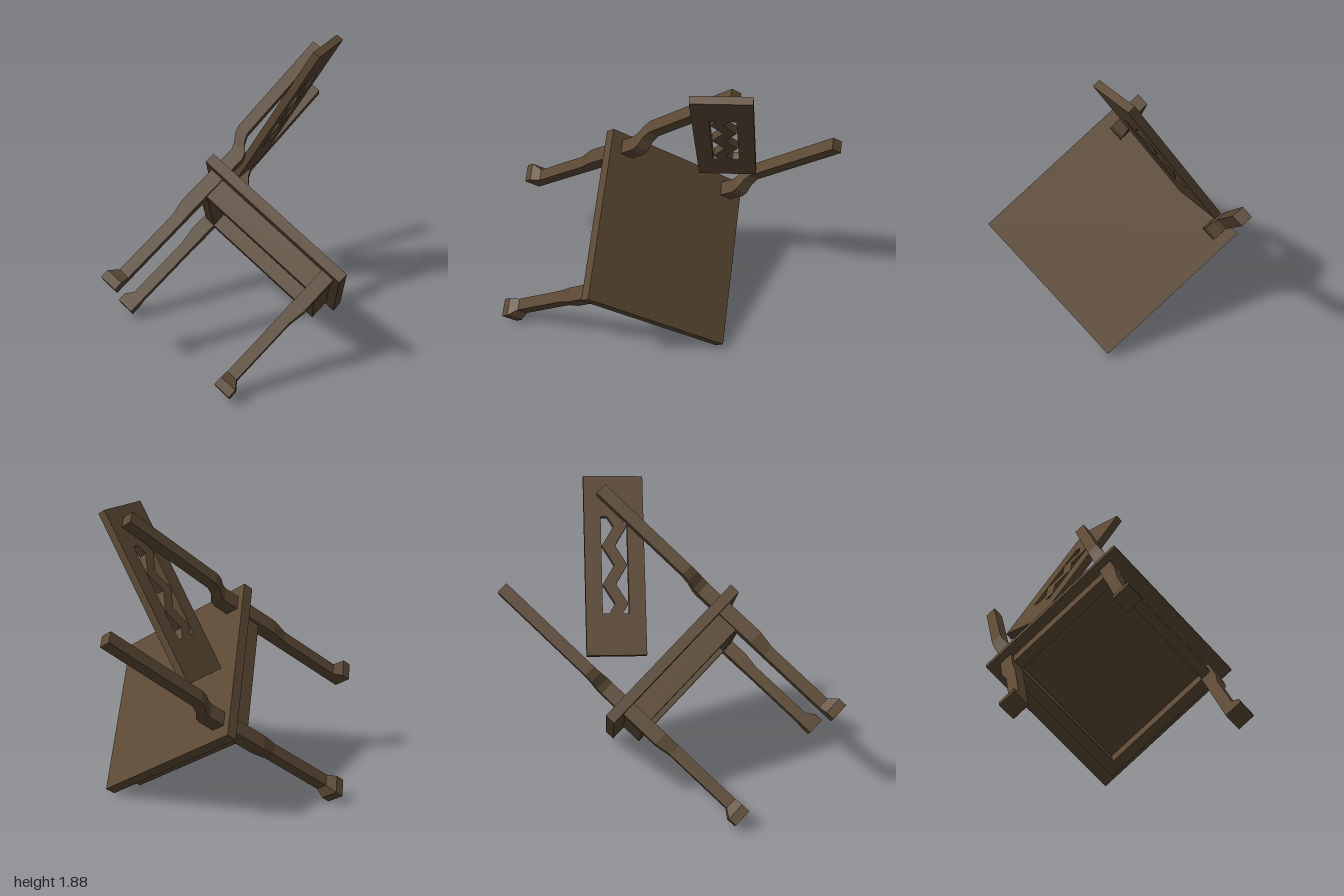
import * as THREE from 'three';

const wood = new THREE.MeshStandardMaterial({ color: 0x5b4834 });
wood.name = 'darkWood';

function add(parent, name, geometry) {
  const mesh = new THREE.Mesh(geometry, wood);
  mesh.name = name;
  parent.add(mesh);
  return mesh;
}

// Square bar through sections [y, centreX, centreZ, halfSide], listed bottom to top
function bar(sections) {
  const pos = [], idx = [];
  for (const [y, x, z, h] of sections) {
    pos.push(x - h, y, z + h, x + h, y, z + h, x + h, y, z - h, x - h, y, z - h);
  }
  for (let i = 0; i < sections.length - 1; i++) {
    for (let k = 0; k < 4; k++) {
      const a = i * 4 + k, b = i * 4 + (k + 1) % 4;
      idx.push(a, b, b + 4, a, b + 4, a + 4);
    }
  }
  const t = (sections.length - 1) * 4;
  idx.push(0, 2, 1, 0, 3, 2, t, t + 1, t + 2, t, t + 2, t + 3);
  const g = new THREE.BufferGeometry();
  g.setAttribute('position', new THREE.Float32BufferAttribute(pos, 3));
  g.setIndex(idx);
  const flat = g.toNonIndexed();
  flat.computeVertexNormals();
  return flat;
}

function box(parent, name, w, h, d, x, y, z) {
  add(parent, name, new THREE.BoxGeometry(w, h, d)).position.set(x, y, z);
}

// Leg whose inner corner stays straight while the outer sides step in and flare to a foot
function leg(sx, sz) {
  const profile = [[-1.01, 0.058], [-0.952, 0.058], [-0.9, 0.0375], [-0.44, 0.0375], [-0.33, 0.046], [-0.05, 0.046]];
  return bar(profile.map(([y, h]) => [y, sx * (0.377 + h), sz * (0.414 + h), h]));
}

// Back post: square block, backward S-bend, then a slight lean
function post(sx) {
  return bar([
    [-0.01, sx * 0.423, -0.46, 0.046],
    [0.11, sx * 0.423, -0.46, 0.046],
    [0.15, sx * 0.423, -0.475, 0.046],
    [0.2, sx * 0.425, -0.52, 0.04],
    [0.25, sx * 0.425, -0.542, 0.0375],
    [0.972, sx * 0.425, -0.574, 0.0375],
  ]);
}

// Board with a window crossed by a zigzag bar
function backBoard() {
  const group = new THREE.Group();
  group.name = 'backBoard';
  const T = 0.05, W = 0.182, H = 0.556, w = 0.08, h = 0.3;
  const poly = (pts) => pts.map(([x, y]) => new THREE.Vector2(x, y));
  const shape = new THREE.Shape(poly([[-W, -H], [W, -H], [W, H], [-W, H]]));
  shape.holes.push(new THREE.Path(poly([[-w, -h], [-w, h], [w, h], [w, -h]])));
  const opts = { depth: T, bevelEnabled: false };
  add(group, 'boardFrame', new THREE.ExtrudeGeometry(shape, opts)).position.z = -T;

  const line = [[0, 0.3], [-0.036, 0.24], [0.036, 0.12], [-0.036, 0], [0.036, -0.12], [-0.036, -0.24], [0, -0.3]];
  const left = line.map(([x, y]) => [x - 0.04, y]);
  const right = line.map(([x, y]) => [x + 0.04, y]).reverse();
  add(group, 'zigzagBar', new THREE.ExtrudeGeometry(new THREE.Shape(poly([...left, ...right])), opts)).position.z = -T;
  return group;
}

export function createModel() {
  const model = new THREE.Group();
  model.name = 'brokenChair';

  // The chair is built upright with the seat top at y = 0, then tipped over
  const chair = new THREE.Group();
  chair.name = 'tippedChair';
  model.add(chair);

  box(chair, 'seat', 1.1, 0.068, 1.1, 0, -0.034, 0);

  // Thick apron under the seat, with a recessed panel inside it
  for (const s of [-1, 1]) {
    box(chair, s > 0 ? 'frontApron' : 'backApron', 0.9, 0.15, 0.07, 0, -0.135, s * 0.45);
    box(chair, 'sideApron', 0.07, 0.15, 0.83, s * 0.415, -0.135, 0);
  }
  box(chair, 'underPanel', 0.76, 0.05, 0.83, 0, -0.085, 0);

  // Three legs; the front one on the +x side is missing
  for (const [sx, sz] of [[-1, -1], [1, -1], [-1, 1]]) {
    add(chair, sz > 0 ? 'frontLeg' : 'backLeg', leg(sx, sz));
  }

  for (const s of [-1, 1]) add(chair, 'backPost', post(s));

  // Loose board hanging askew between the posts
  const board = backBoard();
  board.position.set(-0.152, 0.598, -0.478);
  board.rotation.set(0, 0.075, Math.PI / 4, 'ZYX');
  chair.add(board);

  // Tip the chair onto its side
  const up = new THREE.Vector3(0.8, 0.6, 0);
  const a = THREE.MathUtils.degToRad(47.5);
  const front = new THREE.Vector3(0.6 * Math.cos(a), -0.8 * Math.cos(a), Math.sin(a));
  const side = new THREE.Vector3().crossVectors(up, front);
  chair.quaternion.setFromRotationMatrix(new THREE.Matrix4().makeBasis(side, up, front));
  chair.position.set(0.237, 0.676, 0);
  return model;
}
